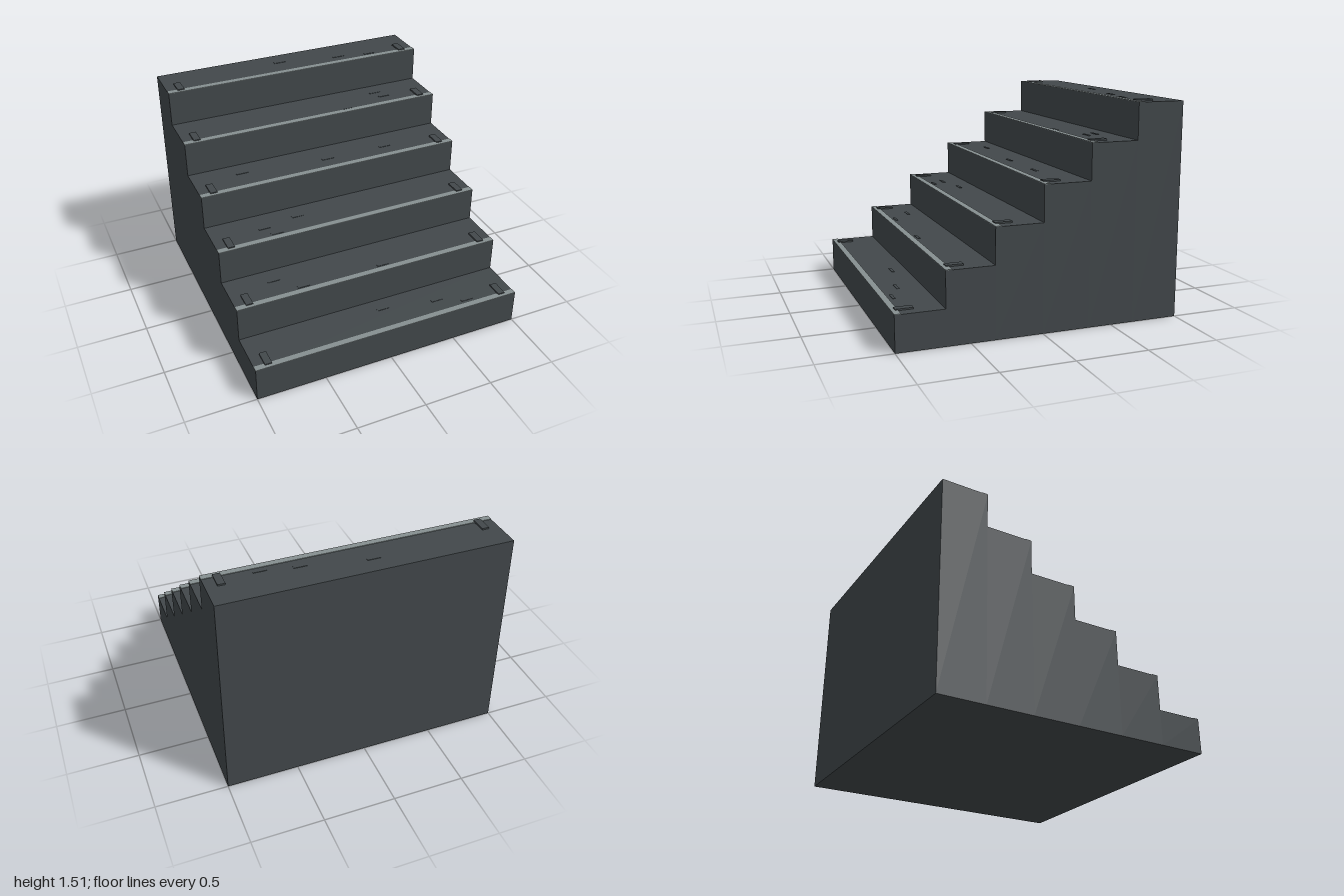
import * as THREE from 'three';

const STEPS = 6, RISE = 0.25, RUN = 1 / 3;

// scuff plates on each tread: [x, distance behind the front edge]
const SCUFFS = [
  [[0.04, 0.23], [0.44, 0.16], [0.64, 0.08]],
  [[-0.66, 0.21], [-0.49, 0.07], [0.12, 0.07]],
  [[-0.61, 0.16], [-0.55, 0.07], [-0.34, 0.21]],
  [[-0.63, 0.21], [0.02, 0.15], [0.49, 0.15]],
  [[0.29, 0.06], [0.6, 0.22], [0.64, 0.14]],
  [[-0.07, 0.2], [0.39, 0.12], [0.64, 0.08]],
];

export function createModel() {
  const model = new THREE.Group();
  model.name = 'staircase';
  const slate = new THREE.MeshStandardMaterial({ color: 0x42484b });
  slate.name = 'dark slate';
  const steel = new THREE.MeshStandardMaterial({ color: 0x868f90 });
  steel.name = 'pale steel';

  // box placed by its centre in x and z and its underside in y
  const box = (parent, name, material, [w, h, d], [x, y, z]) => {
    const mesh = new THREE.Mesh(new THREE.BoxGeometry(w, h, d), material);
    mesh.name = name;
    mesh.position.set(x, y + h / 2, z);
    parent.add(mesh);
  };

  for (let i = 0; i < STEPS; i++) {
    const step = new THREE.Group();
    step.name = `step${i + 1}`;
    model.add(step);
    const top = (i + 1) * RISE;
    const front = 1 - i * RUN;

    // solid step reaching the ground
    box(step, 'stepBlock', slate, [2, top, RUN], [0, 0, front - RUN / 2]);
    // pale strip along the front edge
    box(step, 'edgeStrip', steel, [2, 0.004, 0.044], [0, top, front - 0.022]);
    // raised clamps near both ends
    for (const side of [-1, 1]) {
      box(step, side > 0 ? 'leftClamp' : 'rightClamp', slate, [0.05, 0.011, 0.12], [side * 0.9, top, front - 0.085]);
    }
    // thin scuff plates
    for (const [x, back] of SCUFFS[i]) {
      box(step, 'scuffPlate', slate, [0.09, 0.003, 0.02], [x, top, front - back]);
    }
  }
  return model;
}
